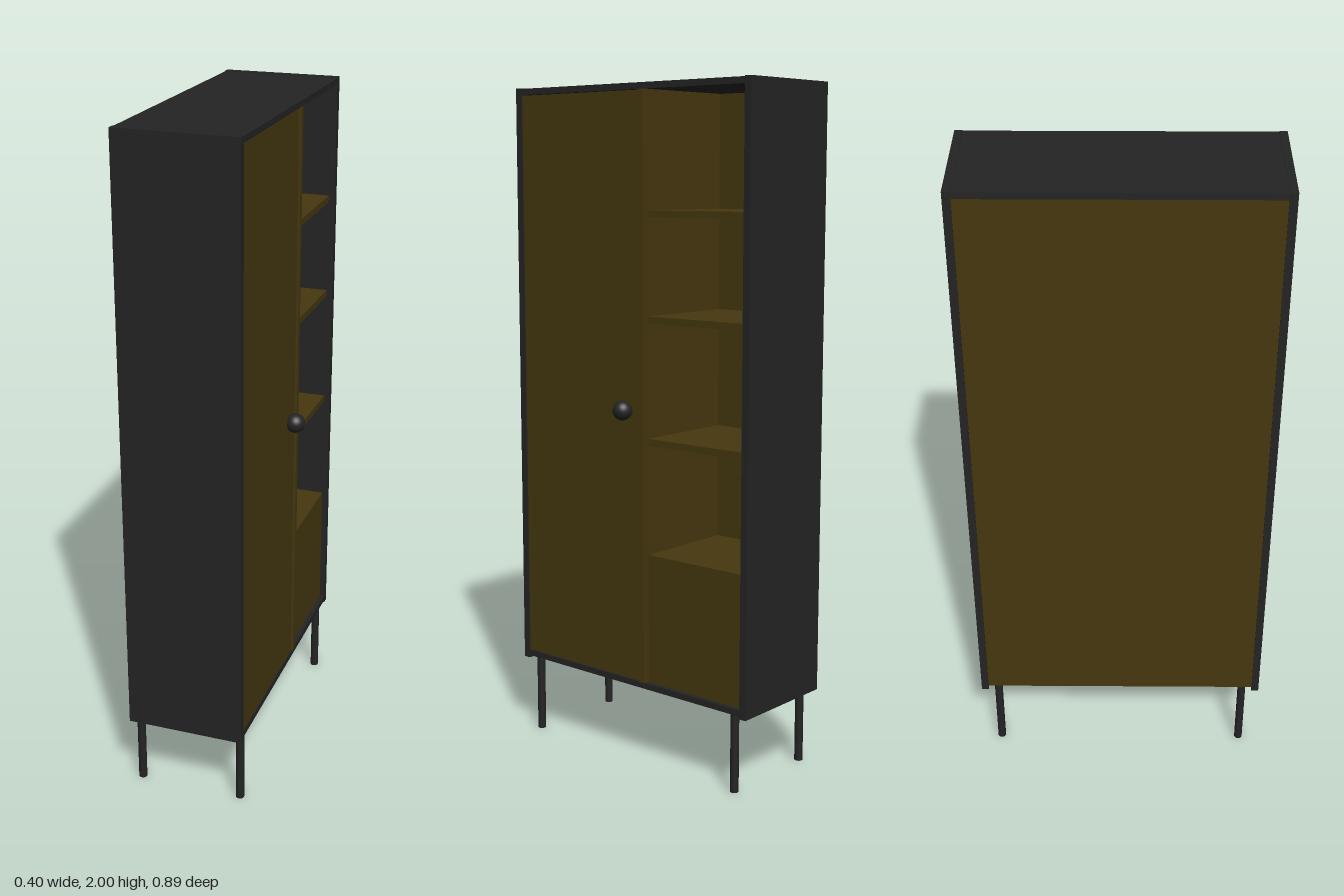
import * as THREE from 'three';

const dark = new THREE.MeshStandardMaterial({ color: 0x242424 });
const wood = new THREE.MeshStandardMaterial({ color: 0x45370e });

// Box given by its limits on each axis
function panel(name, mat, [x0, x1], [y0, y1], [z0, z1]) {
  const mesh = new THREE.Mesh(new THREE.BoxGeometry(x1 - x0, y1 - y0, z1 - z0), mat);
  mesh.position.set((x0 + x1) / 2, (y0 + y1) / 2, (z0 + z1) / 2);
  mesh.name = name;
  return mesh;
}

export function createModel() {
  const model = new THREE.Group();
  model.name = 'cabinet';

  // Dark carcass, open towards +x
  model.add(
    panel('leftSide', dark, [-0.198, 0.153], [0.23, 2], [0.421, 0.443]),
    panel('rightSide', dark, [-0.198, 0.153], [0.23, 2], [-0.443, -0.421]),
    panel('topPanel', dark, [-0.198, 0.153], [1.98, 1.998], [-0.421, 0.421]),
    panel('bottomPanel', dark, [-0.188, 0.153], [0.238, 0.256], [-0.421, 0.421])
  );

  // Wooden back, divider and door
  model.add(
    panel('backPanel', wood, [-0.194, -0.188], [0.242, 1.98], [-0.421, 0.421]),
    panel('divider', wood, [-0.188, 0.157], [0.256, 1.98], [-0.067, -0.049]),
    panel('door', wood, [0.133, 0.151], [0.258, 1.978], [-0.046, 0.419])
  );

  // Open shelves beside the door
  for (const top of [1.645, 1.345, 0.99]) {
    model.add(panel('shelf', wood, [-0.188, 0.135], [top - 0.02, top], [-0.421, -0.067]));
  }

  // Closed compartment at the bottom of the open side
  model.add(panel('lowerDrawer', wood, [-0.188, 0.138], [0.256, 0.645], [-0.418, -0.07]));

  // Round door knob
  const knob = new THREE.Mesh(new THREE.SphereGeometry(0.029, 32, 20), dark);
  knob.position.set(0.169, 1.07, 0.003);
  knob.name = 'doorKnob';
  model.add(knob);

  // Four slender legs
  const legGeometry = new THREE.CylinderGeometry(0.0125, 0.0125, 0.24, 20);
  for (const x of [-0.183, 0.132]) {
    for (const z of [-0.39, 0.39]) {
      const leg = new THREE.Mesh(legGeometry, dark);
      leg.position.set(x, 0.12, z);
      leg.name = 'leg';
      model.add(leg);
    }
  }
  return model;
}
